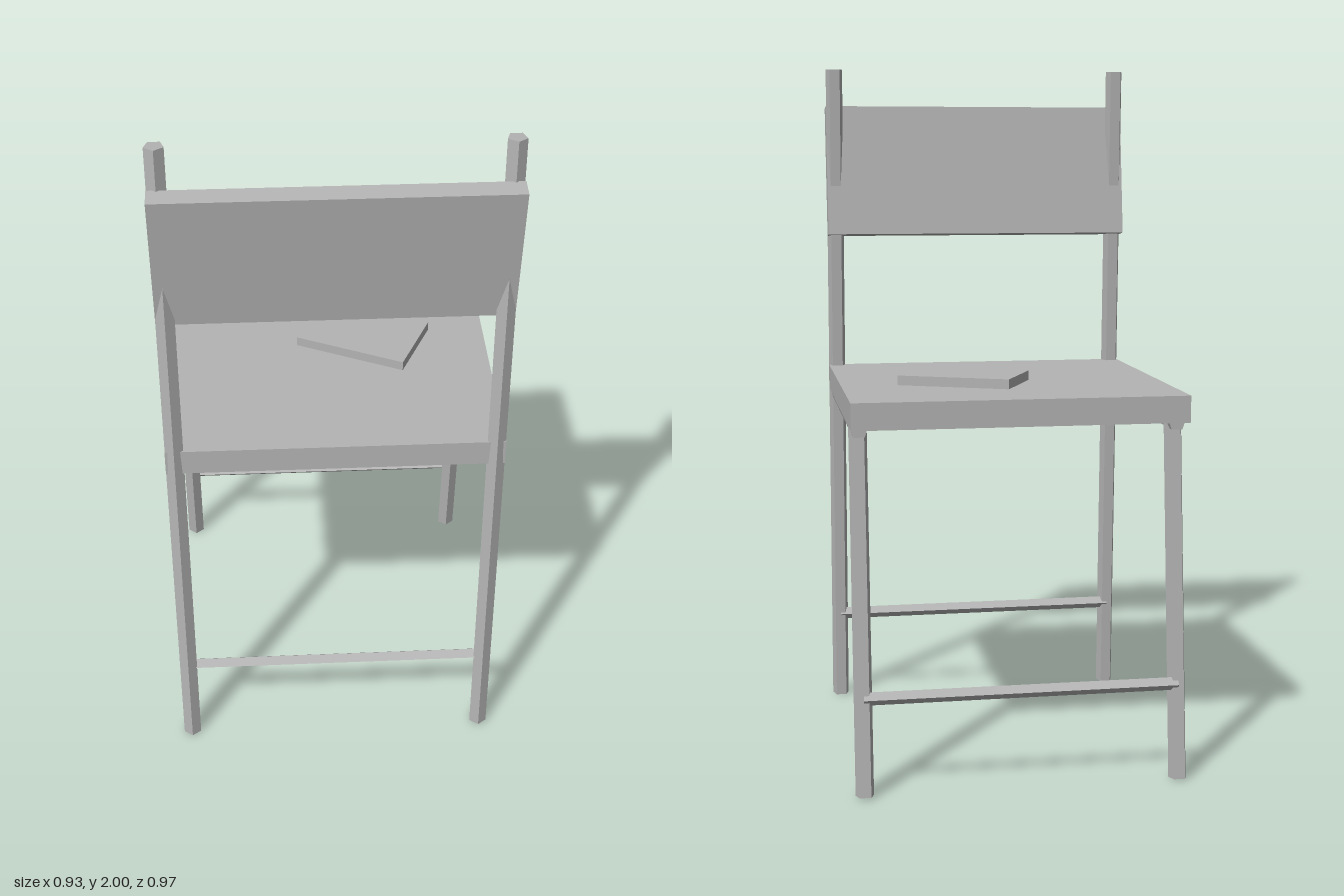
import * as THREE from 'three';

export function createModel() {
  const chair = new THREE.Group();
  chair.name = 'chair';
  const grey = new THREE.MeshStandardMaterial({ color: 0xb4b4b4, flatShading: true });
  grey.name = 'plain grey';

  function box(name, w, h, d, x, y, z) {
    const mesh = new THREE.Mesh(new THREE.BoxGeometry(w, h, d), grey);
    mesh.name = name;
    mesh.position.set(x, y, z);
    chair.add(mesh);
    return mesh;
  }

  // faceted rod between two points
  function rod(name, from, to, radius, sides) {
    const a = new THREE.Vector3(...from), b = new THREE.Vector3(...to);
    const dir = b.clone().sub(a);
    const mesh = new THREE.Mesh(new THREE.CylinderGeometry(radius, radius, dir.length(), sides), grey);
    mesh.name = name;
    mesh.position.copy(a).add(b).multiplyScalar(0.5);
    mesh.quaternion.setFromUnitVectors(new THREE.Vector3(0, 1, 0), dir.normalize());
    chair.add(mesh);
  }

  // seat slab
  box('seat', 0.932, 0.075, 0.89, 0, 1.0475, -0.003);

  // backrest panel, leaning through the rear posts
  box('backrest', 0.932, 0.396, 0.053, 0, 1.69, 0.421).rotation.x = 0.14;

  // book lying askew on the seat
  box('book', 0.331, 0.028, 0.22, 0.108, 1.099, -0.07).rotation.y = -0.437;

  // five-sided legs and the rails under the seat sides
  for (const [side, s] of [['left', 1], ['right', -1]]) {
    const x = 0.4405 * s;
    rod(side + 'TallLeg', [x, 0.001, 0.463], [x, 1.999, 0.398], 0.0265, 5);
    rod(side + 'ShortLeg', [x, 0.003, -0.464], [x, 1.02, -0.356], 0.0265, 5);
    rod(side + 'SeatRail', [x, 1.006, 0.425], [x, 1.006, -0.4], 0.0265, 5);
  }

  // diamond stretchers between the legs
  for (const [name, z] of [['backrestSideStretcher', 0.447], ['openSideStretcher', -0.448]]) {
    rod(name, [-0.44, 0.272, z], [0.44, 0.272, z], 0.0185, 4);
  }

  return chair;
}
